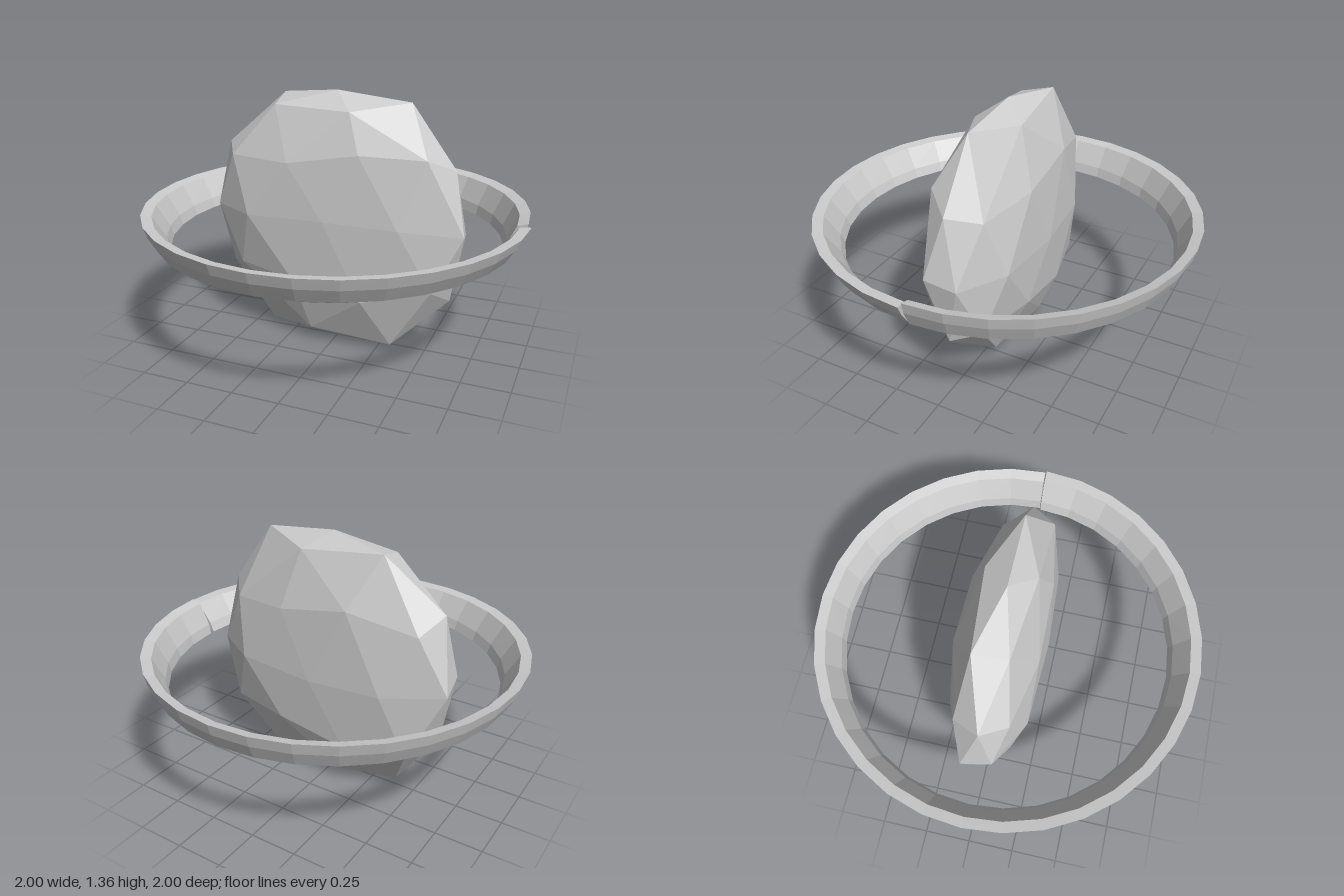
import * as THREE from 'three';
import { ConvexGeometry } from 'three/addons/geometries/ConvexGeometry.js';

const MID_Y = 0.68;

// Flattened faceted stone: upper half points, the lower half is their antipodes
function stoneGeometry() {
  const upper = [
    [0, 0.68, 0],
    // crown
    [-0.33, 0.64, -0.09], [-0.31, 0.6, 0.08], [0.11, 0.595, 0.125], [0.39, 0.64, 0], [0.11, 0.6, -0.13],
    // shoulder, front to back
    [-0.62, 0.37, 0], [-0.54, 0.33, 0.13], [-0.2, 0.33, 0.2], [0.18, 0.4, 0.19], [0.51, 0.39, 0.13],
    [0.625, 0.32, 0], [0.51, 0.27, -0.14], [0.18, 0.3, -0.22], [-0.2, 0.37, -0.22], [-0.55, 0.29, -0.14],
    // front half of the girdle
    [-0.67, 0.03, 0.07], [-0.43, 0.03, 0.2], [0, 0.05, 0.22], [0.39, 0.04, 0.195], [0.695, 0.01, 0.08],
  ];
  const points = [];
  for (const [x, y, z] of upper) {
    points.push(new THREE.Vector3(x, y, z));
    points.push(new THREE.Vector3(-x, -y, z > 0 ? -z * 1.12 : -z * 0.9));
  }
  return new ConvexGeometry(points);
}

// Open-ended ring: a slim faceted section swept once round, twisting slightly
function ringGeometry(steps = 32) {
  const section = [
    [0.112, 0], [0.071, 0.036], [-0.06, 0.02],
    [-0.112, 0], [-0.03, -0.035], [0.054, -0.021],
  ];
  const n = section.length;
  const pos = [], idx = [];
  for (let i = 0; i <= steps; i++) {
    const t = i / steps;
    const a = 0.003 + t * (Math.PI * 2 - 0.006);
    const tilt = THREE.MathUtils.degToRad(47 + 11 * t);
    const c = Math.cos(tilt), s = Math.sin(tilt);
    const centre = 0.923 + 0.014 * Math.sin(Math.PI * t);
    for (const [u, w] of section) {
      const r = centre + u * c - w * s;
      pos.push(r * Math.cos(a), u * s + w * c, r * Math.sin(a));
    }
  }
  for (let i = 0; i < steps; i++) {
    for (let j = 0; j < n; j++) {
      const k = (j + 1) % n;
      const A = i * n + j, B = i * n + k, C = A + n, D = B + n;
      idx.push(A, B, C, B, D, C);
    }
  }
  // end caps
  const last = steps * n;
  for (let j = 1; j < n - 1; j++) {
    idx.push(0, j + 1, j);
    idx.push(last, last + j, last + j + 1);
  }
  const g = new THREE.BufferGeometry();
  g.setAttribute('position', new THREE.Float32BufferAttribute(pos, 3));
  g.setIndex(idx);
  const flat = g.toNonIndexed();
  flat.computeVertexNormals();
  return flat;
}

export function createModel() {
  const group = new THREE.Group();
  const grey = new THREE.MeshStandardMaterial({ color: 0xcccccc });
  grey.name = 'pale grey';

  const parts = { stone: stoneGeometry(), ring: ringGeometry() };
  for (const [name, geometry] of Object.entries(parts)) {
    const mesh = new THREE.Mesh(geometry, grey);
    mesh.name = name;
    mesh.position.y = MID_Y;
    group.add(mesh);
  }
  return group;
}
